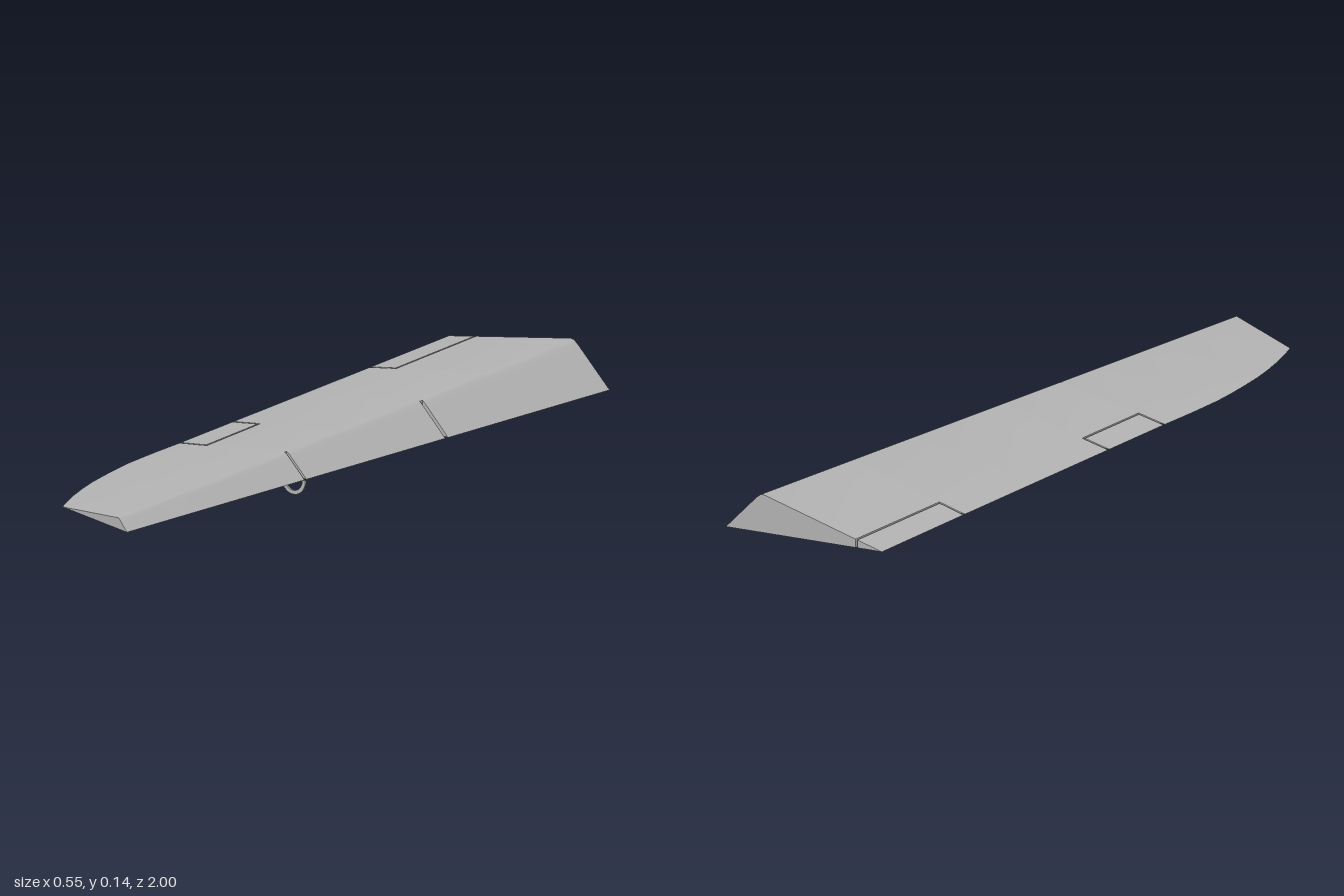
import * as THREE from 'three';
import { toCreasedNormals } from 'three/addons/utils/BufferGeometryUtils.js';

const { lerp, clamp } = THREE.MathUtils;
const LEAD = 0.272, GAP = 0.006;

// Trailing edge as [span, x]; the outer end curves in towards the tip
const TRAIL = [[-1, -0.273], [0.272, -0.155], [0.4, -0.147], [0.53, -0.135], [0.61, -0.122],
  [0.68, -0.108], [0.76, -0.09], [0.83, -0.069], [0.9, -0.044], [0.955, -0.02], [1, 0.003]];
// Rounded nose as [fraction from ridge to leading edge, fraction of height]
const NOSE = [[0, 1], [0.08, 0.985], [0.17, 0.91], [0.3, 0.77], [1, 0]];

function sample(table, t) {
  let i = 0;
  while (i < table.length - 2 && t > table[i + 1][0]) i++;
  const [a, b] = [table[i], table[i + 1]];
  return lerp(a[1], b[1], (t - a[0]) / (b[0] - a[0]));
}

const trailX = (v) => sample(TRAIL, v);

// Upper outline and underside of the wing section at span v
function section(v) {
  const s = (v + 1) / 2;
  const tx = trailX(v), ty = lerp(0.071, 0.075, s);
  const rx = lerp(0.14, 0.235, s), ry = lerp(0.138, 0.098, s), ly = lerp(0.018, 0.066, s);
  const top = [[tx, ty], ...NOSE.map(([f, h]) => [lerp(rx, LEAD, f), lerp(ly, ry, h)])];
  return { top, under: [[tx, ty], [LEAD, ly]] };
}

// Root and tip ends are cut slightly askew
function place(x, y, v) {
  const tip = clamp((v - 0.272) / 0.728, 0, 1) * -0.2;
  const root = clamp((-0.621 - v) / 0.379, 0, 1) * 0.028;
  return [x, y, v + (tip + root) * (LEAD - x)];
}

// Closed loop of the section between x = a and x = b
function loop(v, a, b) {
  const { top, under } = section(v);
  const xs = [a, ...top.map((p) => clamp(p[0], a, b)), b];
  const pts = xs.map((x) => place(x, sample(top, x), v));
  for (const x of [b, a]) pts.push(place(x, sample(under, x), v));
  return pts;
}

// Solid piece of wing from span v0 to v1, between two chord limits
function wingPiece(name, v0, v1, from, to, material) {
  const stations = [v0, ...TRAIL.map((p) => p[0]).filter((v) => v > v0 && v < v1), v1];
  const rings = stations.map((v) => loop(v, from(v), to(v)));
  const pos = [], n = rings[0].length;
  const tri = (...c) => c.forEach((p) => pos.push(...p));
  for (let i = 0; i < rings.length - 1; i++) {
    const A = rings[i], B = rings[i + 1];
    for (let j = 0; j < n; j++) {
      const k = (j + 1) % n;
      tri(A[j], B[j], B[k]);
      tri(A[j], B[k], A[k]);
    }
  }
  const first = rings[0], last = rings[rings.length - 1];
  for (let j = 1; j < n - 1; j++) {
    tri(first[0], first[j], first[j + 1]);
    tri(last[0], last[j + 1], last[j]);
  }
  const geo = new THREE.BufferGeometry();
  geo.setAttribute('position', new THREE.Float32BufferAttribute(pos, 3));
  const mesh = new THREE.Mesh(toCreasedNormals(geo, 0.5), material);
  mesh.name = name;
  return mesh;
}

export function createModel() {
  const group = new THREE.Group();
  group.name = 'wing';
  const grey = new THREE.MeshStandardMaterial({ color: 0xb4b4b4 });
  grey.name = 'wing grey';

  const lead = () => LEAD;
  const rootHinge = (v) => lerp(-0.181, -0.146, (v + 1) / 0.385);
  const outerHinge = (v) => lerp(-0.085, -0.061, (v - 0.02) / 0.252);

  // Main panels, leaving room for the flaps and the leading edge slots
  const panels = [
    [-1, -0.615, rootHinge, lead],
    [-0.615, -0.331, trailX, lead],
    [-0.331, -0.319, trailX, () => 0.183],
    [-0.319, 0.02, trailX, lead],
    [0.02, 0.256, outerHinge, lead],
    [0.256, 0.264, outerHinge, () => 0.202],
    [0.264, 0.272, outerHinge, lead],
    [0.272, 1, trailX, lead],
  ];
  for (const [v0, v1, from, to] of panels) group.add(wingPiece('wingPanel', v0, v1, from, to, grey));

  // Trailing edge flaps with a narrow gap all round
  group.add(wingPiece('rootFlap', -1, -0.615 - GAP, trailX, (v) => rootHinge(v) - GAP, grey));
  group.add(wingPiece('outerFlap', 0.02 + GAP, 0.272 - GAP, trailX, (v) => outerHinge(v) - GAP, grey));

  // Curved hook under the leading edge slot
  const arc = new THREE.Shape();
  arc.absarc(0, 0, 0.042, Math.PI * 0.94, Math.PI * 2.02, false);
  arc.absarc(0, 0, 0.031, Math.PI * 2.02, Math.PI * 0.94, true);
  const hook = new THREE.Mesh(
    new THREE.ExtrudeGeometry(arc, { depth: 0.005, bevelEnabled: false, curveSegments: 14 }), grey);
  hook.name = 'hook';
  hook.position.set(0.231, 0.043, 0.2575);
  group.add(hook);

  // Thin rod along the underside from the hook to the outer flap
  const under = section(0.26).under;
  const yA = sample(under, -0.08), yB = sample(under, 0.195);
  const rod = new THREE.Mesh(new THREE.BoxGeometry(Math.hypot(0.275, yB - yA), 0.003, 0.004), grey);
  rod.name = 'controlRod';
  rod.position.set(0.0575, (yA + yB) / 2, 0.26);
  rod.rotation.z = Math.atan2(yB - yA, 0.275);
  group.add(rod);

  // Small lever below the outer flap
  const lever = new THREE.Mesh(new THREE.BoxGeometry(0.008, 0.02, 0.005), grey);
  lever.name = 'flapLever';
  lever.position.set(-0.085, 0.063, 0.26);
  lever.rotation.z = 0.5;
  group.add(lever);

  return group;
}
